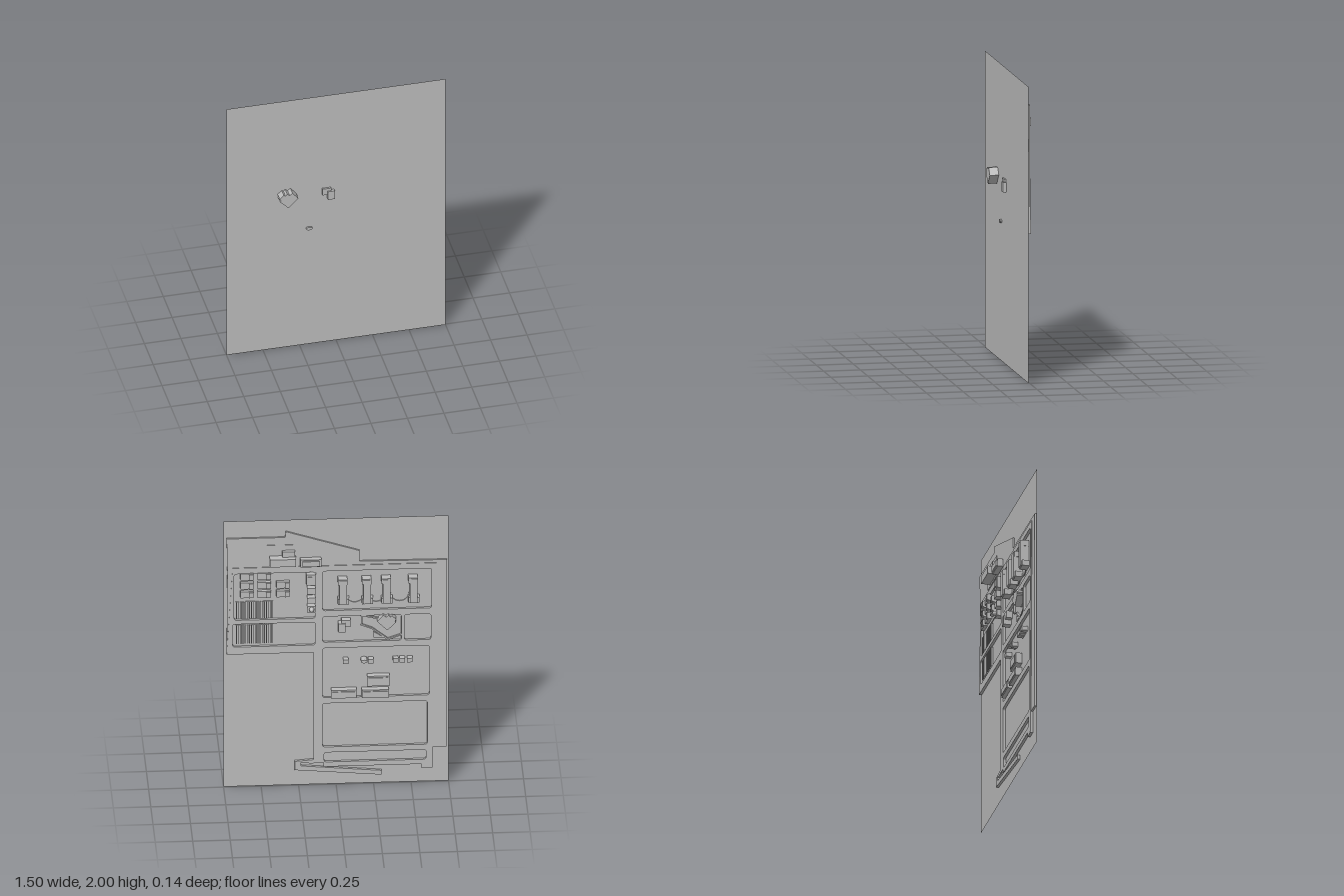
import * as THREE from 'three';

const PLATE = 0.007;   // z of the base sheet
const LOT = -0.007;    // z of the lot surface (relief grows toward -z)
const ROAD = -0.012;   // z of the road surface

export function createModel() {
  const model = new THREE.Group();
  const grey = new THREE.MeshStandardMaterial({ color: 0xbcbcbc, side: THREE.DoubleSide });
  grey.name = 'model grey';

  const add = (name, geometry) => {
    const mesh = new THREE.Mesh(geometry, grey);
    mesh.name = name;
    model.add(mesh);
    return mesh;
  };
  // Box given by its x, y and z limits
  const block = (name, x0, x1, y0, y1, back, front = PLATE - 0.001) => {
    const mesh = add(name, new THREE.BoxGeometry(x1 - x0, y1 - y0, front - back));
    mesh.position.set((x0 + x1) / 2, (y0 + y1) / 2, (front + back) / 2);
    return mesh;
  };
  // Flat outline extruded between two z values
  const toShape = (pts) => new THREE.Shape(pts.map(([x, y]) => new THREE.Vector2(x, y)));
  const prism = (name, shape, back, front = PLATE - 0.001) =>
    add(name, new THREE.ExtrudeGeometry(shape, { depth: front - back, bevelEnabled: false, curveSegments: 6 })
      .translate(0, 0, back));
  // Rounded rectangle path for city blocks
  const rounded = (x0, x1, y0, y1, r = 0.018) => {
    const p = new THREE.Path();
    p.moveTo(x0 + r, y0);
    p.lineTo(x1 - r, y0); p.quadraticCurveTo(x1, y0, x1, y0 + r);
    p.lineTo(x1, y1 - r); p.quadraticCurveTo(x1, y1, x1 - r, y1);
    p.lineTo(x0 + r, y1); p.quadraticCurveTo(x0, y1, x0, y1 - r);
    p.lineTo(x0, y0 + r); p.quadraticCurveTo(x0, y0, x0 + r, y0);
    return p;
  };
  // Narrow straight path between two points
  const path = (name, ax, ay, bx, by, w = 0.01) => {
    const mesh = add(name, new THREE.BoxGeometry(Math.hypot(bx - ax, by - ay) + w, w, PLATE - LOT));
    mesh.position.set((ax + bx) / 2, (ay + by) / 2, (PLATE + LOT) / 2 - 0.001);
    mesh.rotation.z = Math.atan2(by - ay, bx - ax);
  };

  // Base sheet
  add('baseSheet', new THREE.PlaneGeometry(1.5, 2)).position.set(0, 1, PLATE);

  // Raised lot around the top and the right-hand edge of the roads
  prism('lot', toShape([
    [0.725, 1.62], [0.73, 1.875], [0.34, 1.875], [0.335, 1.918], [-0.157, 1.76], [-0.157, 1.68],
    [-0.74, 1.675], [-0.735, 0.265], [-0.635, 0.265], [-0.65, 1.64], [0.68, 1.64], [0.715, 1.02], [0.73, 1.02],
  ]), LOT);

  // Road network with the city blocks left open
  const roads = toShape([
    [0.69, 1.655], [-0.67, 1.655], [-0.642, 0.11], [-0.57, 0.11], [-0.57, 0.14],
    [0.085, 0.14], [0.085, 0.17], [0.15, 0.17], [0.15, 1.005], [0.73, 1.005],
  ]);
  roads.holes = [
    [0.14, 0.68, 1.262, 1.61], [0.14, 0.69, 1.06, 1.232],
    [-0.637, 0.09, 1.316, 1.614], [-0.435, 0.09, 1.078, 1.272], [-0.632, -0.455, 1.078, 1.272],
    [-0.622, 0.09, 0.66, 1.034], [-0.608, 0.09, 0.288, 0.617], [-0.6, 0.08, 0.175, 0.247],
  ].map((r) => rounded(...r));
  prism('roads', roads, ROAD);
  prism('slantedRoad', toShape([
    [0.276, 0.185], [0.276, 0.12], [-0.302, 0.068], [-0.302, 0.1], [0.235, 0.15], [0.235, 0.175],
    [0.15, 0.165], [0.15, 0.195],
  ]), ROAD);

  // Four towers, each with a head and a foot
  for (const x of [-0.045, -0.205, -0.335, -0.515]) {
    block('tower', x - 0.025, x + 0.025, 1.38, 1.56, -0.055);
    block('towerFoot', x - 0.04, x + 0.035, 1.375, 1.415, -0.045);
    block('towerHead', x - 0.028, x + 0.034, 1.525, 1.565, -0.05);
  }
  // Curved walks linking the towers
  for (const x of [-0.125, -0.27, -0.425]) {
    const arc = new THREE.Shape();
    arc.absarc(x, 1.43, 0.068, Math.PI, Math.PI * 2, false);
    arc.absarc(x, 1.43, 0.06, Math.PI * 2, Math.PI, true);
    prism('curvedWalk', arc, LOT + 0.006);
  }

  // Terraced houses on a common pad
  block('housingPad', 0.3, 0.66, 1.41, 1.613, LOT + 0.008);
  [[0.595, 3], [0.48, 3], [0.355, 2]].forEach(([x, rows]) => {
    for (let i = 0; i < rows; i++) {
      const y = 1.457 + i * 0.067;
      block('house', x - 0.044, x + 0.044, y - 0.024, y + 0.024, -0.022);
      block('houseWing', x - 0.044, x - 0.012, y - 0.02, y + 0.02, -0.032);
    }
  });

  // Two fields covered with fine slats
  for (const [y0, y1] of [[1.272, 1.395], [1.082, 1.22]]) {
    block('fieldBed', 0.42, 0.67, y0, y1, 0.002);
    for (let i = 0; i < 20; i++) {
      const x = 0.425 + i * 0.0125;
      block('slat', x, x + 0.004, y0, y1, -0.008);
    }
  }

  // Row of small buildings beside the main road, ending in a domed one
  block('sideBuilding', 0.135, 0.2, 1.525, 1.605, -0.04);
  block('sideBuildingTop', 0.145, 0.19, 1.54, 1.59, -0.046);
  block('sideBuilding', 0.14, 0.195, 1.46, 1.505, -0.045);
  block('sideBuilding', 0.14, 0.195, 1.39, 1.43, -0.042);
  block('domeBase', 0.14, 0.195, 1.322, 1.365, -0.04);
  const dome = add('dome', new THREE.SphereGeometry(0.017, 14, 10));
  dome.position.set(0.165, 1.345, -0.046);
  dome.scale.z = 1.2;

  // Large buildings on the upper lot
  block('upperYard', 0.27, 0.505, 1.67, 1.82, LOT - 0.003);
  block('upperHall', 0.27, 0.445, 1.685, 1.74, -0.07);
  block('upperAnnex', 0.275, 0.36, 1.74, 1.78, -0.035);
  block('upperOffice', 0.1, 0.24, 1.665, 1.72, -0.045);
  block('upperOfficeRoof', 0.112, 0.228, 1.673, 1.712, -0.055);

  // Stepped pair of buildings standing through the sheet
  block('steppedBuilding', -0.095, -0.035, 1.2, 1.25, -0.035, 0.02);
  block('steppedBuilding', -0.06, -0.013, 1.165, 1.23, -0.045, 0.03);

  // Turned hall with a notched edge, standing through the sheet
  prism('turnedHall', toShape([
    [-0.34, 1.17], [-0.272, 1.238], [-0.312, 1.285], [-0.332, 1.27], [-0.348, 1.283],
    [-0.36, 1.27], [-0.372, 1.278], [-0.4, 1.25], [-0.39, 1.238], [-0.398, 1.228],
  ]), -0.04, 0.068);

  // Walks around the turned hall
  path('walk', -0.17, 1.27, -0.17, 1.2);
  path('walk', -0.17, 1.2, -0.24, 1.17);
  path('walk', -0.24, 1.17, -0.345, 1.086);
  path('walk', -0.345, 1.086, -0.44, 1.12);
  path('walk', -0.17, 1.27, -0.3, 1.24);
  prism('plaza', toShape([[-0.25, 1.1], [-0.32, 1.1], [-0.25, 1.145]]), LOT);

  // Row of kiosks, one oval and passing through the sheet
  for (const x of [-0.063, -0.23, -0.396, -0.44, -0.49]) {
    block('kiosk', x - 0.018, x + 0.018, 0.922, 0.952, -0.035);
  }
  const oval = new THREE.Shape();
  oval.absellipse(-0.185, 0.943, 0.022, 0.012, 0, Math.PI * 2, false, 0);
  prism('ovalKiosk', oval, -0.05, 0.02);

  // Long buildings in the lower block
  for (const [x0, x1, y0, y1] of [[-0.135, 0.035, 0.665, 0.725], [-0.355, -0.205, 0.75, 0.825], [-0.35, -0.17, 0.662, 0.722]]) {
    block('longBuilding', x0, x1, y0, y1, -0.037);
    block('longBuildingRoof', x0 + 0.01, x1 - 0.01, y0 + 0.01, y1 - 0.01, -0.043);
  }
  return model;
}
